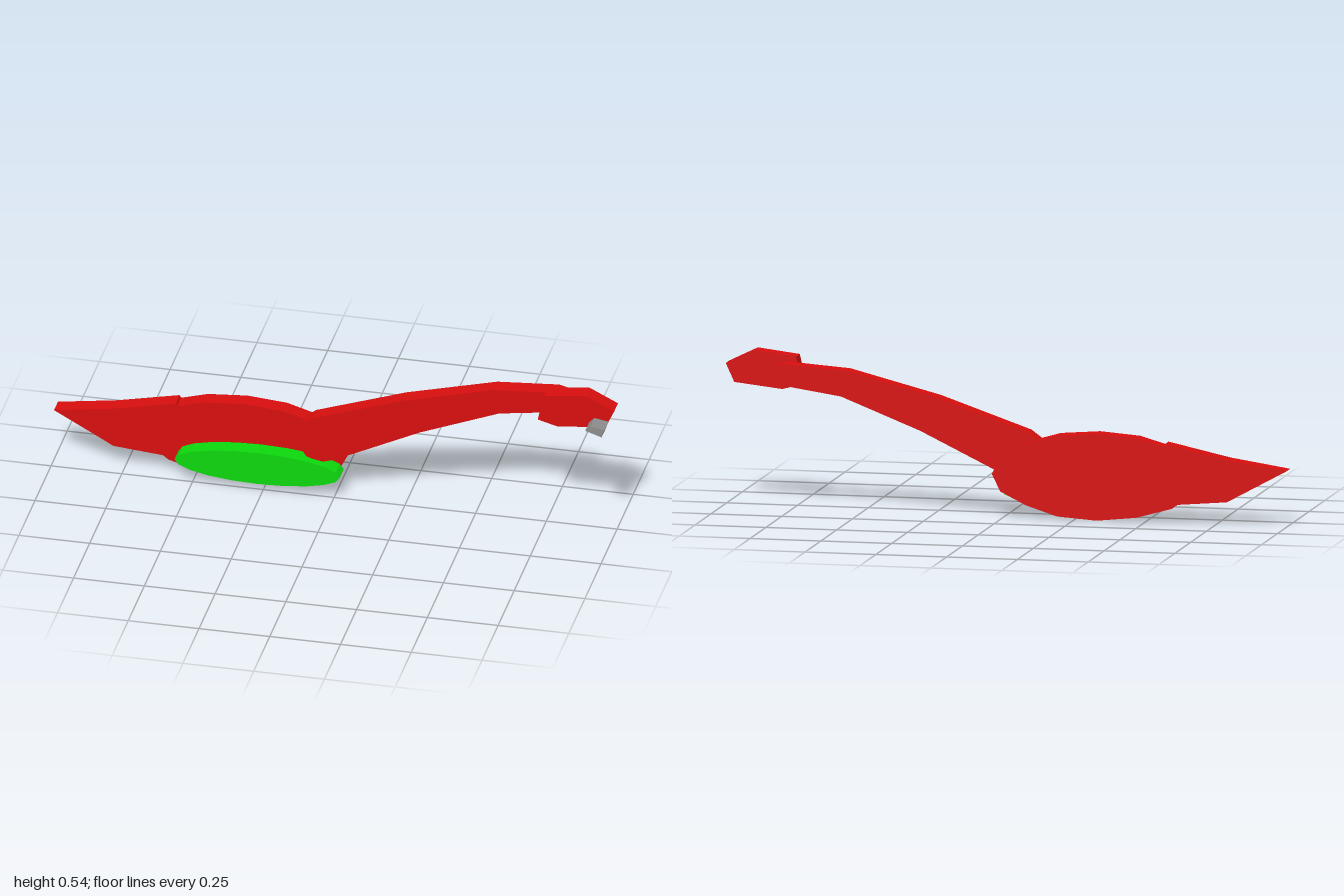
import * as THREE from 'three';

const mat = (name, color) => {
  const m = new THREE.MeshStandardMaterial({ color });
  m.name = name;
  return m;
};

// Flat slab cut from an outline in the xy plane, between two z depths
function slab(name, points, z0, z1, material) {
  const shape = new THREE.Shape(points.map(([x, y]) => new THREE.Vector2(x, y)));
  const geo = new THREE.ExtrudeGeometry(shape, { depth: z1 - z0, bevelEnabled: false });
  geo.translate(0, 0, z0);
  const mesh = new THREE.Mesh(geo, material);
  mesh.name = name;
  return mesh;
}

// Faceted ellipse outline
function ellipse(cx, cy, rx, ry, n) {
  return Array.from({ length: n }, (_, i) => {
    const a = (i / n) * Math.PI * 2;
    return [cx + rx * Math.cos(a), cy + ry * Math.sin(a)];
  });
}

export function createModel() {
  const red = mat('red', 0xd80e0e);
  const green = mat('green', 0x0dd80d);
  const grey = mat('grey', 0x8c8c8c);
  const group = new THREE.Group();

  // Oval body merging into a pointed tail
  const body = [
    [-1, 0.2], [-0.79, 0.085], [-0.615, 0.07], [-0.595, 0.055], [-0.47, 0.02],
    [-0.33, 0.005], [-0.19, 0.015], [-0.08, 0.05], [0.01, 0.095], [0.04, 0.155],
    [0.01, 0.215], [-0.07, 0.262], [-0.19, 0.297], [-0.33, 0.308], [-0.47, 0.297],
    [-0.565, 0.27], [-0.57, 0.28], [-0.79, 0.232],
  ];
  // Long bent arm with rounded ends
  const arm = [
    [-0.135, 0.225], [-0.125, 0.18], [-0.1, 0.147], [-0.05, 0.131], [0.0, 0.147],
    [0.3, 0.292], [0.58, 0.402], [0.78, 0.432], [0.808, 0.445], [0.822, 0.474],
    [0.81, 0.5], [0.78, 0.508], [0.56, 0.492], [0.24, 0.41], [-0.08, 0.3],
    [-0.118, 0.272],
  ];
  const head = [
    [0.73, 0.43], [0.8, 0.411], [0.97, 0.43], [1, 0.495], [0.9, 0.544], [0.752, 0.526],
  ];
  const peg = [[0.912, 0.442], [0.97, 0.423], [0.98, 0.453], [0.93, 0.461]];

  group.add(
    slab('body', body, -0.107, -0.046, red),
    slab('arm', arm, -0.075, -0.014, red),
    slab('head', head, -0.014, 0.046, red),
    slab('ovalPad', ellipse(-0.268, 0.095, 0.292, 0.061, 20), -0.046, 0.016, green),
    slab('peg', peg, 0.046, 0.108, grey),
  );
  return group;
}
